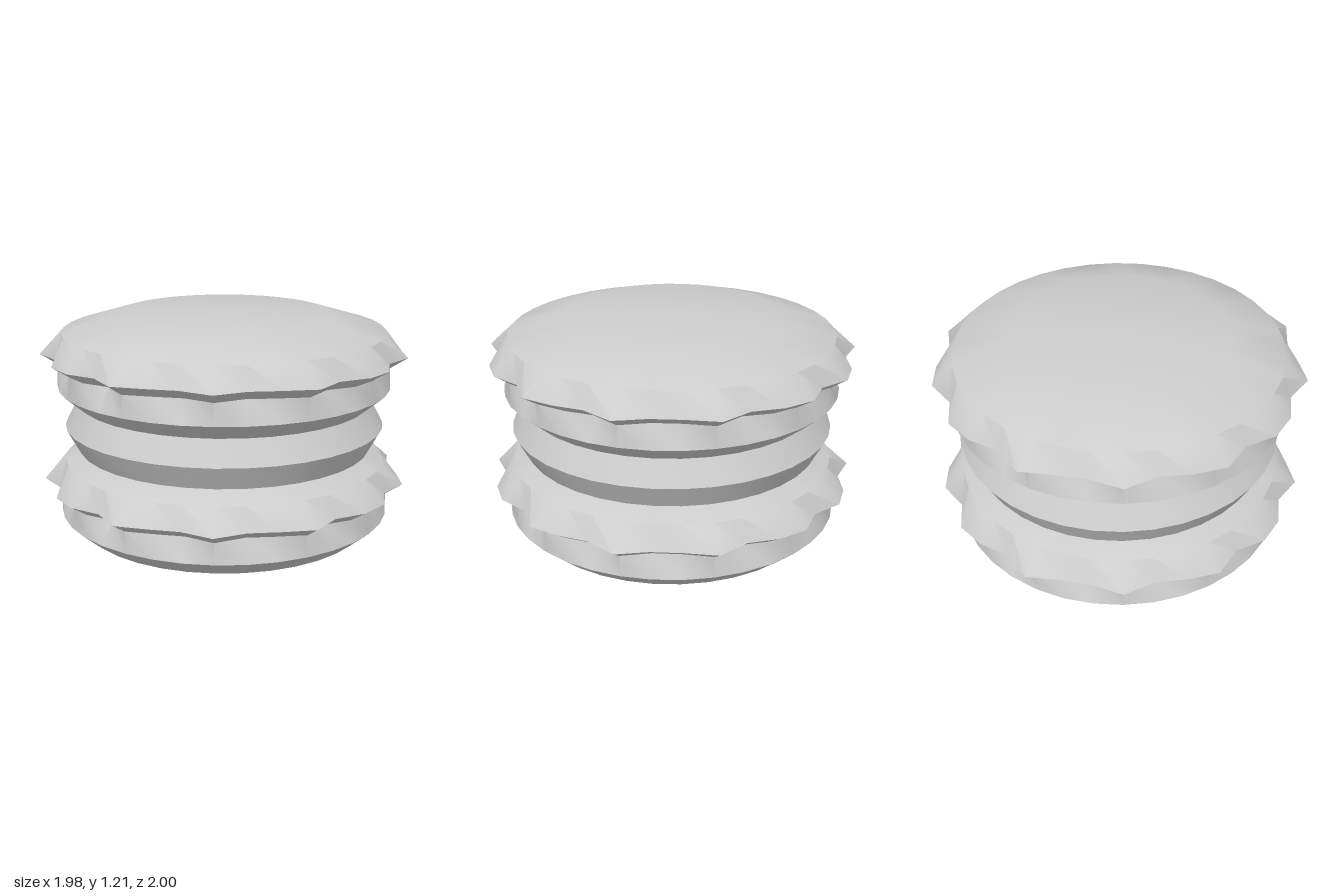
import * as THREE from 'three';
import { toCreasedNormals } from 'three/addons/utils/BufferGeometryUtils.js';

const SIDES = 36;
const RIPPLES = 13;
const RIPPLE_DEPTH = 0.04;

// Turned part; profile points are [radius, height, rippled?], bottom to top.
function turned(name, profile, material) {
  const geo = new THREE.LatheGeometry(profile.map(([r, y]) => new THREE.Vector2(r, y)), SIDES);
  const pos = geo.attributes.position;
  for (let i = 0; i < pos.count; i++) {
    const [r, y, rippled] = profile[i % profile.length];
    if (!rippled) continue;
    const angle = (Math.floor(i / profile.length) / SIDES) * Math.PI * 2;
    const radius = r + RIPPLE_DEPTH * Math.cos(RIPPLES * angle);
    pos.setXYZ(i, radius * Math.sin(angle), y, radius * Math.cos(angle));
  }
  const mesh = new THREE.Mesh(toCreasedNormals(geo, THREE.MathUtils.degToRad(40)), material);
  mesh.name = name;
  return mesh;
}

export function createModel() {
  const model = new THREE.Group();
  model.name = 'layeredStack';
  const grey = new THREE.MeshStandardMaterial({ color: 0xcccccc });
  grey.name = 'lightGrey';

  // Two identical tiers: bevelled base with a rippled domed cap
  for (const [name, y] of [['lowerTier', 0], ['upperTier', 0.71]]) {
    const tier = new THREE.Group();
    tier.name = name;
    tier.position.y = y;
    tier.add(
      turned('bevelledBase', [[0, 0], [0.81, 0], [0.915, 0.09], [0.88, 0.21, true]], grey),
      turned('rippledCap', [[0.88, 0.21, true], [0.973, 0.27, true], [0.885, 0.385], [0.59, 0.475], [0, 0.5]], grey)
    );
    model.add(tier);
  }

  // Plain ridged disc between the tiers
  model.add(turned('middleDisc', [[0, 0.45], [0.81, 0.45], [0.88, 0.58], [0.81, 0.71], [0, 0.71]], grey));

  // Balance the uneven front and back ripples
  model.children.forEach((part) => { part.position.z = -0.012; });
  return model;
}
